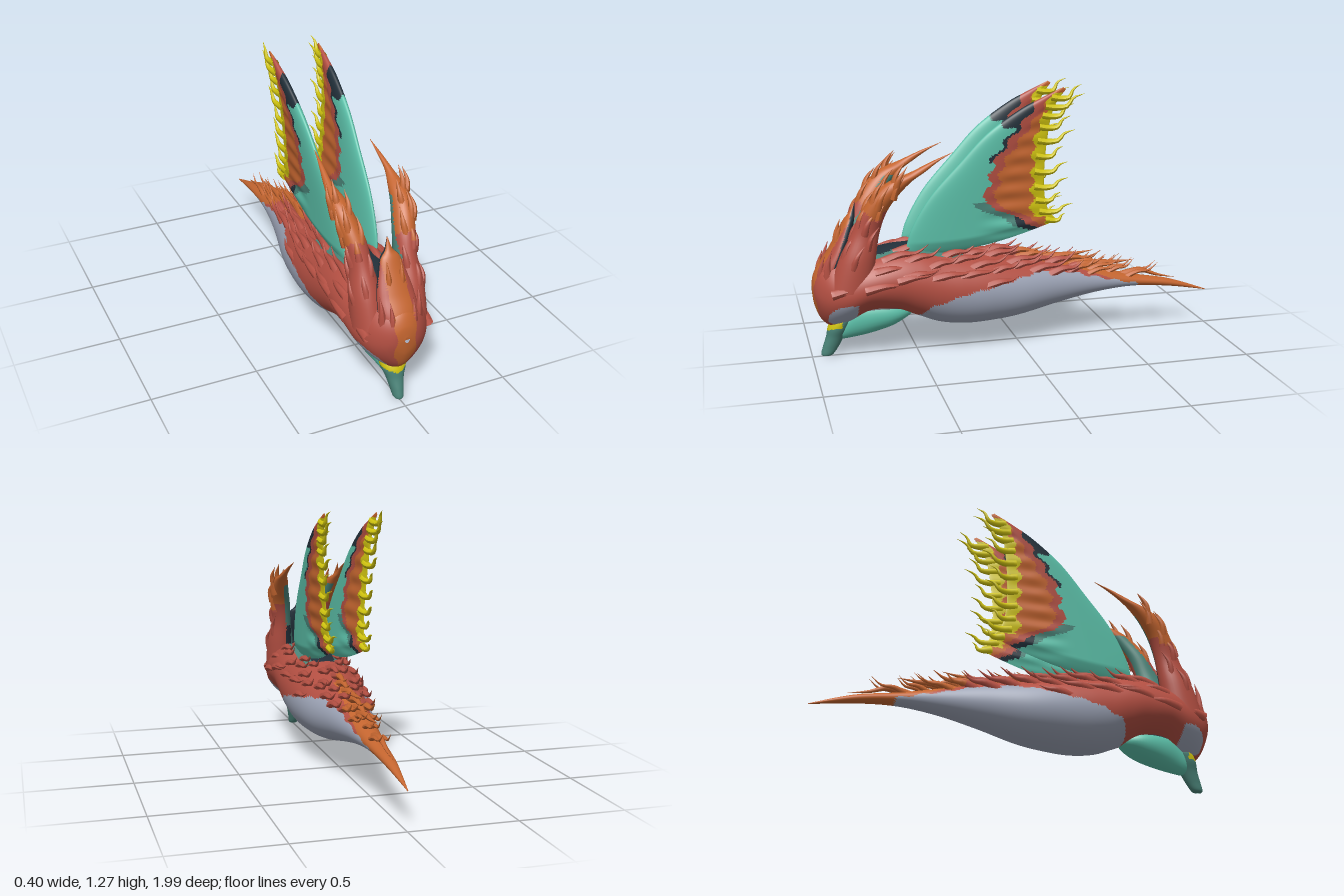
import * as THREE from 'three';
import { mergeGeometries } from 'three/addons/utils/BufferGeometryUtils.js';

const colours = {
  red: 0xb34f42, orange: 0xc4652f, teal: 0x5bbfa8, darkTeal: 0x4a8378,
  yellow: 0xd0c410, grey: 0x9ca3b5, navy: 0x22303a,
};
const names = Object.keys(colours);

// Catmull-Rom sampling of every column of a table, t from 0 to 1
function sample(rows, t) {
  const f = t * (rows.length - 1), i = Math.min(Math.floor(f), rows.length - 2), u = f - i;
  const at = (k) => rows[Math.max(0, Math.min(rows.length - 1, k))];
  const [a, b, c, d] = [at(i - 1), at(i), at(i + 1), at(i + 2)];
  return b.map((_, k) => {
    const m0 = (c[k] - a[k]) / 2, m1 = (d[k] - b[k]) / 2, u2 = u * u, u3 = u2 * u;
    return (2 * u3 - 3 * u2 + 1) * b[k] + (u3 - 2 * u2 + u) * m0 + (3 * u2 - 2 * u3) * c[k] + (u3 - u2) * m1;
  });
}

// Closed tube-like surface from rings f(t, angle), always facing outwards
function loft(f, n, m) {
  const pos = [], idx = [];
  for (let i = 0; i <= n; i++) for (let j = 0; j < m; j++) pos.push(...f(i / n, j / m * Math.PI * 2));
  for (let i = 0; i < n; i++) for (let j = 0; j < m; j++) {
    const a = i * m + j, b = i * m + (j + 1) % m;
    idx.push(a, b, a + m, b, b + m, a + m);
  }
  const p = (k) => new THREE.Vector3().fromArray(pos, k * 3);
  let volume = 0;
  for (let k = 0; k < idx.length; k += 3) volume += p(idx[k]).dot(p(idx[k + 1]).cross(p(idx[k + 2])));
  if (volume < 0) idx.reverse();
  const g = new THREE.BufferGeometry();
  g.setAttribute('position', new THREE.Float32BufferAttribute(pos, 3));
  g.setIndex(idx);
  g.computeVertexNormals();
  return g;
}

// Sort triangles into one group per colour, chosen at the triangle centre
function paint(g, rule) {
  const p = g.attributes.position, idx = g.index.array, bins = names.map(() => []);
  for (let k = 0; k < idx.length; k += 3) {
    const t = [idx[k], idx[k + 1], idx[k + 2]];
    const mid = (get) => t.reduce((s, v) => s + p[get](v), 0) / 3;
    bins[names.indexOf(rule(mid('getX'), mid('getY'), mid('getZ')))].push(...t);
  }
  g.setIndex(bins.flat());
  let start = 0;
  bins.forEach((b, i) => { if (b.length) g.addGroup(start, b.length, i); start += b.length; });
  return g;
}

// Tapered curved flame through a few points
function tongue(points, r) {
  const curve = new THREE.CatmullRomCurve3(points.map((q) => new THREE.Vector3(...q)));
  const g = new THREE.TubeGeometry(curve, 10, r, 7), p = g.attributes.position, v = new THREE.Vector3();
  for (let k = 0; k < p.count; k++) {
    const t = Math.floor(k / 8) / 10, c = curve.getPointAt(t);
    v.fromBufferAttribute(p, k).sub(c).multiplyScalar(Math.max(0.04, 1 - t ** 1.3)).add(c);
    p.setXYZ(k, v.x, v.y, v.z);
  }
  g.computeVertexNormals();
  return g;
}

// Body sections: z, half width, top, bottom
const sections = [
  [0.99, 0.012, 0.36, 0.33], [0.98, 0.06, 0.41, 0.26], [0.95, 0.105, 0.46, 0.19], [0.9, 0.145, 0.49, 0.155],
  [0.82, 0.175, 0.5, 0.17], [0.72, 0.187, 0.51, 0.22], [0.6, 0.19, 0.53, 0.22], [0.5, 0.192, 0.53, 0.18],
  [0.4, 0.193, 0.51, 0.14], [0.28, 0.192, 0.49, 0.12], [0.15, 0.183, 0.465, 0.122], [0, 0.16, 0.43, 0.138],
  [-0.2, 0.11, 0.39, 0.18], [-0.4, 0.068, 0.34, 0.215], [-0.6, 0.042, 0.29, 0.23], [-0.8, 0.025, 0.25, 0.212],
  [-1, 0.002, 0.18, 0.176],
];

function bodyAt(z) {
  let i = 0;
  while (i < sections.length - 2 && sections[i + 1][0] > z) i++;
  const [a, b] = [sections[i], sections[i + 1]], u = (a[0] - z) / (a[0] - b[0]);
  return a.map((v, k) => v + (b[k] - v) * u);
}

const bellyLine = [[0.53, 0.17], [0.45, 0.26], [0.3, 0.31], [0.1, 0.345], [-0.1, 0.375], [-0.25, 0.35], [-0.4, 0.305], [-0.62, 0.25]];
function bodyColour(x, y, z) {
  const ax = Math.abs(x);
  for (let i = 0; i < bellyLine.length - 1; i++) {
    const [a, b] = [bellyLine[i], bellyLine[i + 1]];
    if (z <= a[0] && z > b[0]) {
      const edge = a[1] + (b[1] - a[1]) * (a[0] - z) / (a[0] - b[0]);
      if (y < edge + 0.005 * Math.sin(z * 60)) return 'grey';
    }
  }
  // Eye stripe with a yellow line beneath it
  const d = y - (0.175 + 0.9 * (ax - 0.07));
  if (z > 0.79 && z < 0.925 && y < 0.29 && ax > 0.03 && d > -0.014 && d < 0.036) {
    if (d < 0.007) return 'yellow';
    if (ax > 0.052) return 'grey';
  }
  if (z > 0.53 && z < 0.9 && y < 0.245 && ax < 0.13 && d < 0) return 'navy';
  if (z > 0.25 && z < 0.85 && y > 0.44 && ax < 0.065 + 0.01 * Math.sin(z * 40)) return 'navy';
  if (z > 0.25 && z < 0.75 && y > 0.44 && ax < 0.1) return 'darkTeal';
  if (z > 0.85 && ax < Math.min(0.048, (y - 0.14) * 0.4) + 0.006 * Math.sin(y * 50)) return 'orange';
  if (z < -0.48 || (z < 0 && ax < 0.03 - z * 0.05)) return 'orange';
  return 'red';
}

// Wing outline as pairs: leading z, y and trailing z, y
const wingRows = [
  [0.56, 0.49, -0.18, 0.615], [0.53, 0.61, -0.13, 0.68], [0.44, 0.765, -0.11, 0.78], [0.3, 0.92, -0.11, 0.9],
  [0.17, 1.055, -0.12, 1.02], [0.02, 1.16, -0.135, 1.12], [-0.09, 1.215, -0.16, 1.19], [-0.19, 1.26, -0.205, 1.25],
];
const wingX = (y) => 0.077 + (y - 0.55) * 0.068;

function wingColour(x, y, z) {
  const wave = 0.014 * Math.sin(y * 75);
  if (z < -0.05 + wave - Math.max(0, y - 1) * 0.35 && (y > 0.64 || z < -0.12)) return y > 1.235 ? 'orange' : 'yellow';
  // Slanting border between the blade and its warm outer band
  const edge = wave + (y < 0.73 ? 0.19 - (0.73 - y) * 1.9 : y < 0.92 ? 0.19 - (y - 0.73) * 0.25 : 0.143 - (y - 0.92) * 0.75);
  if (z < edge) return z > edge - 0.05 ? 'red' : 'orange';
  if (y > 0.92 && z < edge + (y > 1.08 ? 0.085 : 0.02)) return 'navy';
  if (y < 0.73 && z < edge + 0.07) return z < 0.03 ? 'navy' : 'darkTeal';
  return 'teal';
}

export function createModel() {
  const model = new THREE.Group();
  const mats = names.map((n) => new THREE.MeshStandardMaterial({ color: colours[n], name: n, side: THREE.DoubleSide }));
  const add = (name, g, rule) => {
    const mesh = new THREE.Mesh(paint(g, rule), mats);
    mesh.name = name;
    model.add(mesh);
  };
  // Lofts with level rings: x, y, z, radius x, radius z
  const upright = (rows) => loft((t, a) => {
    const [x, y, z, rx, rz] = sample(rows, t);
    return [x + rx * Math.cos(a), y, z + rz * Math.sin(a)];
  }, 52, 32);

  // Body, with the head narrowing to a V below
  add('body', loft((t, a) => {
    const [z, w, top, bottom] = sample(sections, t), sin = Math.sin(a);
    const pinch = sin < 0 ? 0.35 * sin * sin * THREE.MathUtils.smoothstep(z, 0.6, 0.8) : 0;
    return [w * Math.cos(a) * (1 - pinch), (top + bottom) / 2 + (top - bottom) / 2 * sin, z];
  }, 180, 100), bodyColour);

  // Beak with yellow band, and throat
  add('beak', upright([[0, 0.003, 0.932, 0.004, 0.006], [0, 0.012, 0.93, 0.022, 0.028], [0, 0.05, 0.912, 0.03, 0.038],
    [0, 0.1, 0.89, 0.042, 0.043], [0, 0.15, 0.872, 0.06, 0.05], [0, 0.2, 0.85, 0.06, 0.045], [0, 0.24, 0.84, 0.01, 0.01]]),
  (x, y, z) => y > 0.128 + Math.abs(x) * 0.4 && z > 0.86 ? 'yellow' : 'darkTeal');
  const throat = [[0.9, 0.01, 0.12, 0.1], [0.86, 0.045, 0.2, 0.085], [0.8, 0.065, 0.27, 0.09], [0.72, 0.085, 0.29, 0.105],
    [0.63, 0.09, 0.28, 0.13], [0.56, 0.07, 0.25, 0.165], [0.5, 0.01, 0.21, 0.2]];
  add('throat', loft((t, a) => {
    const [z, w, top, bottom] = sample(throat, t);
    return [w * Math.cos(a), (top + bottom) / 2 + (top - bottom) / 2 * Math.sin(a), z];
  }, 30, 30), (x, y) => y > 0.235 ? 'navy' : 'teal');

  // Central head crest
  add('headCrest', upright([[0, 0.33, 0.9, 0.09, 0.07], [0, 0.43, 0.9, 0.095, 0.065], [0, 0.52, 0.865, 0.085, 0.045],
    [0, 0.6, 0.83, 0.065, 0.035], [0, 0.66, 0.808, 0.045, 0.025], [0, 0.69, 0.795, 0.018, 0.016], [0, 0.74, 0.78, 0.002, 0.002]]),
  (x, y, z) => z < 0.835 - (y - 0.6) * 0.4 ? 'navy' : Math.abs(x) < 0.048 ? 'orange' : 'red');

  for (const s of [1, -1]) {
    const side = s > 0 ? 'left' : 'right';
    // Swept-back head plume, dark on the inner face
    const plume = [[0.1, 0.35, 0.82, 0.075, 0.1], [0.105, 0.5, 0.785, 0.068, 0.085], [0.108, 0.62, 0.745, 0.05, 0.065],
      [0.12, 0.72, 0.705, 0.05, 0.06], [0.137, 0.8, 0.65, 0.046, 0.06], [0.146, 0.86, 0.585, 0.036, 0.055],
      [0.15, 0.9, 0.505, 0.018, 0.035], [0.143, 0.945, 0.42, 0.009, 0.016], [0.137, 0.98, 0.34, 0.001, 0.002]];
    add(side + 'Plume', upright(plume.map(([x, ...r]) => [x * s, ...r])), (x, y, z) => {
      const inner = Math.abs(x) < 0.092 + Math.max(0, y - 0.6) * 0.17;
      if (inner && y > 0.45 && y < 0.84 && z < 0.79 - Math.max(0, y - 0.62) * 0.75) return z < 0.72 && y < 0.6 ? 'navy' : 'darkTeal';
      return y > 0.71 + 0.02 * Math.sin(z * 60) ? 'orange' : 'red';
    });
    // Flames on the plume
    const plumeFlames = [];
    for (let i = 0; i < 14; i++) {
      const [x, y, z, rx, rz] = sample(plume, 0.12 + i * 0.041), a = [0.2, 1.2, -0.5, 2.0][i % 4];
      const px = x + rx * 0.8 * Math.cos(a), pz = z + rz * 0.85 * Math.sin(a), o = Math.cos(a) * 0.016;
      plumeFlames.push(tongue([[s * px, y - 0.03, pz + 0.01], [s * (px + o), y + 0.025, pz - 0.005], [s * (px + o * 0.6), y + 0.08, pz - 0.045]], 0.018));
    }
    add(side + 'PlumeFlames', mergeGeometries(plumeFlames), (x, y) => y > 0.69 ? 'orange' : 'red');

    // Wing blade, lens-shaped in section, ridged towards the trailing edge
    add(side + 'Wing', loft((t, a) => {
      const [lz, ly, tz, ty] = sample(wingRows, t), u = (1 - Math.cos(a)) / 2;
      const y = ly + (ty - ly) * u - 0.04 * (1 - t) ** 4 * Math.sin(Math.PI * u);
      const ridge = 1 + 0.22 * Math.sin(y * 75) * THREE.MathUtils.smoothstep(u, 0.45, 0.7);
      const thick = 0.035 * Math.min(1, t * 12 + 0.05) * (1 - 0.45 * t) * (1 - t ** 8);
      return [s * (wingX(y) + thick * Math.sin(a) * (1.15 - 0.75 * u) * ridge), y, lz + (tz - lz) * u];
    }, 110, 90), wingColour);

    // Wavy fringe along the wing's trailing edge
    const fringe = [];
    for (let i = 0; i < 11; i++) {
      const t = i / 10, [, , tz, ty] = sample(wingRows, 0.04 + t * 0.88), x = s * wingX(ty);
      const l = 0.1 + 0.025 * Math.sin(i * 2.3) + t * 0.02 - (i < 1 ? 0.05 : 0), up = 0.02 + t * 0.03;
      fringe.push(tongue([[x, ty - 0.005, tz + 0.05], [x, ty - 0.014, tz], [x + s * 0.006, ty - 0.008, tz - l * 0.4],
        [x + s * 0.006, ty + up * 0.6, tz - l * 0.6], [x, ty + up, tz - l]], 0.019));
    }
    add(side + 'WingFringe', mergeGeometries(fringe), () => 'yellow');

    // Rows of flames along the back and flanks
    const flames = [];
    [[1.2, 0.56, -0.6, 0.105], [0.8, 0.62, -0.45, 0.1], [0.45, 0.66, 0.05, 0.13], [0.15, 0.86, 0.5, 0.15]].forEach(([a, z0, z1, step], row) => {
      for (let z = z0, i = 0; z > z1; z -= step, i++) {
        const [, w, top, bottom] = bodyAt(z), b = a + 0.12 * Math.sin(i * 2.1 + row);
        const x = w * 0.93 * Math.cos(b), y = (top + bottom) / 2 + (top - bottom) / 2 * 0.93 * Math.sin(b);
        const l = 0.14 + 0.03 * Math.sin(i * 1.7 + row * 2), h = row < 2 ? 0.06 : 0.025, o = row < 2 ? 0.003 : 0.01;
        flames.push(tongue([[s * x, y - 0.01, z + 0.05], [s * (x + o), y + h * 0.35, z - l * 0.2],
          [s * (x + o * 0.5), y + h * 0.4, z - l * 0.65], [s * x * 0.97, y + h, z - l]], z < -0.35 ? 0.015 : 0.024));
      }
    });
    add(side + 'BodyFlames', mergeGeometries(flames), (x, y, z) => z < -0.3 ? 'orange' : 'red');
  }

  // Flames on the spine, then three long forks on the tail
  const spine = [];
  for (let i = 0; i < 6; i++) {
    const z = 0.15 - i * 0.09, y = bodyAt(z)[2], l = 0.17 + 0.03 * Math.sin(i * 2);
    spine.push(tongue([[0, y - 0.015, z + 0.05], [0, y + 0.015, z - l * 0.4], [0, y + 0.005, z - l * 0.7], [0, y + 0.025, z - l]], 0.026));
  }
  for (const [z, tipZ, tipY, r] of [[-0.12, -0.39, 0.43, 0.025], [-0.34, -0.6, 0.365, 0.025], [-0.56, -0.83, 0.255, 0.02]]) {
    const y = bodyAt(z)[2];
    spine.push(tongue([[0, y - 0.02, z + 0.06], [0, y + 0.008, z - 0.08], [0, (y + tipY) / 2, tipZ + 0.1], [0, tipY, tipZ]], r));
  }
  add('tailFlames', mergeGeometries(spine), (x, y, z) => z > 0 ? 'red' : 'orange');

  // Small upright flames on the forehead
  const brow = [[0.05, 0.4, 0.95], [-0.05, 0.4, 0.95], [0.085, 0.43, 0.92], [-0.085, 0.43, 0.92], [0.03, 0.55, 0.865], [-0.03, 0.55, 0.865]]
    .map(([x, y, z]) => tongue([[x, y - 0.04, z], [x * 1.05, y + 0.04, z], [x * 1.1, y + 0.11, z - 0.02]], 0.022));
  add('browFlames', mergeGeometries(brow), (x) => Math.abs(x) < 0.048 ? 'orange' : 'red');
  return model;
}
